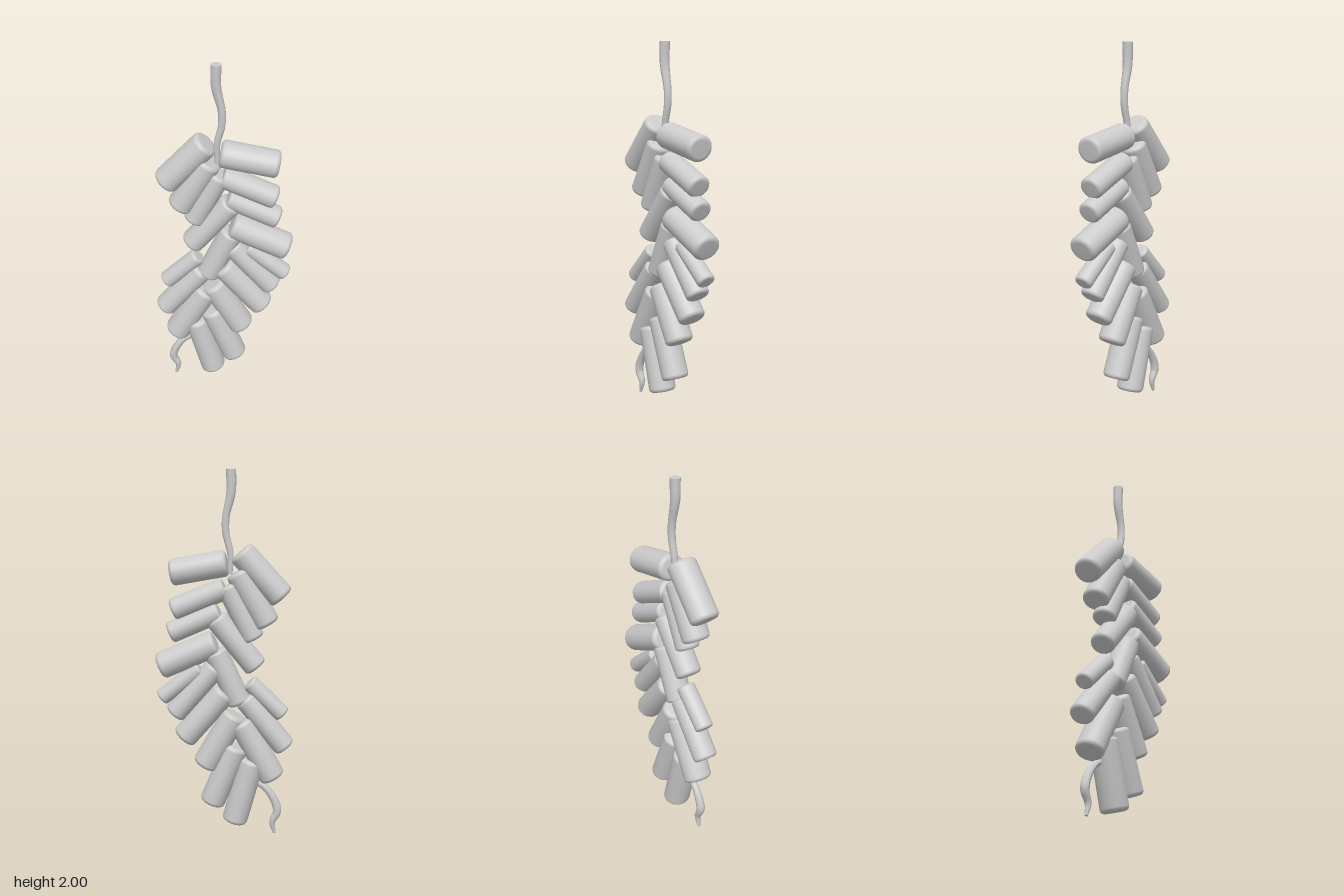
import * as THREE from 'three';

const material = new THREE.MeshStandardMaterial({ color: 0xcccccc });
const DEPTH = 1.1; // tubes are slightly deeper than they are wide

// Tube with rounded rims between an inner and an outer end in the x-y plane
function makeCracker(name, [x0, y0, x1, y1, r]) {
  const dx = x1 - x0, dy = y1 - y0;
  const h = Math.hypot(dx, dy) / 2, b = r * 0.32;
  const profile = [new THREE.Vector2(0, -h)];
  for (const end of [-1, 1]) {
    for (let i = 0; i <= 4; i++) {
      const a = (end < 0 ? i : 4 - i) / 4 * Math.PI / 2;
      profile.push(new THREE.Vector2(r - b + b * Math.sin(a), end * (h - b + b * Math.cos(a))));
    }
  }
  profile.push(new THREE.Vector2(0, h));
  const mesh = new THREE.Mesh(new THREE.LatheGeometry(profile, 24), material);
  mesh.name = name;
  mesh.scale.z = DEPTH;
  mesh.position.set((x0 + x1) / 2, (y0 + y1) / 2, 0);
  mesh.rotation.z = Math.atan2(-dx, dy);
  return mesh;
}

// Cord along a curve whose radius follows a list of values, with closed ends
function makeCord(name, points, radii) {
  const curve = new THREE.CatmullRomCurve3(points.map(([x, y]) => new THREE.Vector3(x, y, 0)));
  const steps = 32, sides = 10;
  const geometry = new THREE.TubeGeometry(curve, steps, 1, sides);
  const pos = geometry.attributes.position, v = new THREE.Vector3();
  for (let i = 0; i < pos.count; i++) {
    const t = Math.floor(i / (sides + 1)) / steps;
    const c = curve.getPointAt(t);
    const f = t * (radii.length - 1), k = Math.min(Math.floor(f), radii.length - 2);
    const r = THREE.MathUtils.lerp(radii[k], radii[k + 1], f - k);
    v.fromBufferAttribute(pos, i).sub(c).multiplyScalar(r).add(c);
    pos.setXYZ(i, v.x, v.y, v.z);
  }
  geometry.computeVertexNormals();
  const group = new THREE.Group();
  group.name = name;
  group.add(new THREE.Mesh(geometry, material));
  for (const t of [0, 1]) {
    const cap = new THREE.Mesh(new THREE.CircleGeometry(radii[t * (radii.length - 1)], sides), material);
    const out = curve.getTangentAt(t).multiplyScalar(t ? 1 : -1);
    cap.quaternion.setFromUnitVectors(new THREE.Vector3(0, 0, 1), out);
    cap.position.copy(curve.getPointAt(t));
    group.add(cap);
  }
  return group;
}

export function createModel() {
  const model = new THREE.Group();
  model.name = 'firecrackerString';

  // Each row: inner x, inner y, outer x, outer y, radius
  const rightRow = [
    [-0.09, 1.57, -0.315, 1.325, 0.073],
    [-0.075, 1.465, -0.24, 1.18, 0.07],
    [-0.02, 1.39, -0.165, 1.1, 0.062],
    [0.04, 1.215, -0.18, 0.945, 0.065],
    [0.045, 1.035, -0.09, 0.745, 0.065],
    [-0.14, 0.865, -0.325, 0.685, 0.047],
    [-0.115, 0.775, -0.34, 0.5, 0.062],
    [-0.095, 0.645, -0.275, 0.325, 0.072],
  ];
  const leftRow = [
    [-0.02, 1.51, 0.285, 1.455, 0.072],
    [-0.01, 1.375, 0.275, 1.255, 0.062],
    [0.02, 1.25, 0.29, 1.13, 0.06],
    [0.04, 1.08, 0.347, 0.945, 0.074],
    [0.125, 0.94, 0.34, 0.77, 0.046],
    [0.04, 0.945, 0.27, 0.68, 0.06],
    [-0.01, 0.81, 0.22, 0.545, 0.07],
    [-0.065, 0.685, 0.105, 0.39, 0.072],
    [-0.07, 0.505, 0.065, 0.175, 0.07],
    [-0.16, 0.43, -0.06, 0.07, 0.07],
  ];
  rightRow.forEach((row, i) => model.add(makeCracker('rightCracker' + (i + 1), row)));
  leftRow.forEach((row, i) => model.add(makeCracker('leftCracker' + (i + 1), row)));

  // Hanging cord at the top, running in between the crackers
  model.add(makeCord('hangingCord',
    [[-0.04, 2], [-0.04, 1.88], [-0.013, 1.75], [-0.013, 1.67], [-0.037, 1.56], [-0.035, 1.45]],
    [0.028, 0.026, 0.021, 0.02, 0.018, 0.014]));

  // Curling fuse at the bottom
  model.add(makeCord('tailFuse',
    [[-0.17, 0.31], [-0.235, 0.265], [-0.285, 0.19], [-0.298, 0.13], [-0.272, 0.07], [-0.285, 0.005]],
    [0.018, 0.019, 0.022, 0.024, 0.018, 0.008]));

  return model;
}
